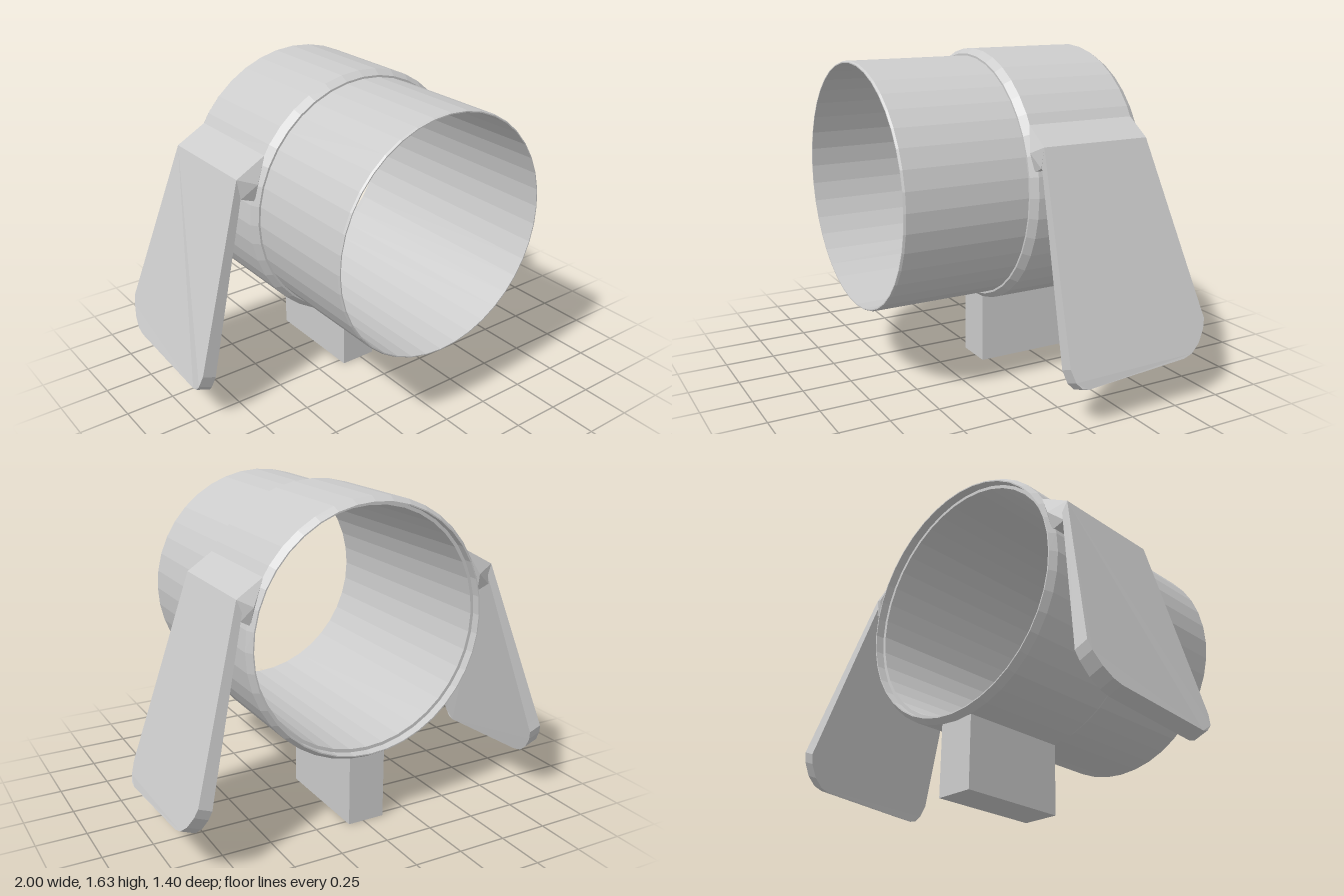
import * as THREE from 'three';
import { ConvexGeometry } from 'three/addons/geometries/ConvexGeometry.js';

const CX = -0.015, CY = 0.99;      // axis of the tube
const Z_FRONT = 0.04, Z_BACK = -0.53;

const material = new THREE.MeshStandardMaterial({ color: 0xcccccc, flatShading: true });

function part(name, geometry) {
  const mesh = new THREE.Mesh(geometry, material);
  mesh.name = name;
  return mesh;
}

// Thin tube with a thicker chamfered collar, one closed profile of [radius, z]
function tubeAndCollar() {
  const profile = [
    [0.595, -0.52], [0.612, -0.52], [0.612, -0.565], [0.618, -0.565],
    [0.64, Z_BACK], [0.64, Z_FRONT], [0.615, 0.075], [0.605, 0.075],
    [0.605, 0.69], [0.6, 0.7], [0.595, 0.7], [0.595, -0.52],
  ].map(([r, z]) => new THREE.Vector2(r, z));
  const geometry = new THREE.LatheGeometry(profile, 40);
  geometry.rotateX(Math.PI / 2).translate(CX, CY, 0);
  return part('tubeAndCollar', geometry);
}

// Splayed side plate: outline of [z, y] given thickness, then leaned outwards
const FIN_OUTLINE = [
  [0.04, 1.235], [0.08, 0.29], [0.062, 0.23], [0.035, 0.2], [0, 0.19],
  [-0.55, 0.225], [-0.6, 0.24], [-0.65, 0.28], [-0.69, 0.34], [-0.705, 0.385],
  [-0.695, 0.43], [-0.53, 1.235],
];

function fin(name, side, topX, slope) {
  const shape = new THREE.Shape(FIN_OUTLINE.map(([z, y]) => new THREE.Vector2(-side * z, y)));
  const geometry = new THREE.ExtrudeGeometry(shape, { depth: 1, bevelEnabled: false });
  const pos = geometry.attributes.position;
  for (let i = 0; i < pos.count; i++) {
    const z = -side * pos.getX(i), y = pos.getY(i);
    const drop = 1.235 - y;
    const inward = (1 - pos.getZ(i)) * (0.035 + 0.035 * drop); // plate thickens downwards
    const x = Math.min(topX + slope * drop, 1) - inward;
    pos.setXYZ(i, side * x, y - 0.4 * inward, z);
  }
  geometry.computeVertexNormals();
  return part(name, geometry);
}

// Faceted bracket that joins the collar to the top of a plate
function bracket(name, side, topX) {
  const section = [
    [0.545, 1.32, 0], [topX, 1.235, 0], [topX - 0.015, 1.135, 0.005],
    [0.615, 1.11, 0.01], [0.607, 1.2, 0.033],
  ];
  const points = [];
  for (const [x, y, flare] of section) {
    points.push(new THREE.Vector3(side * x + CX, y, Z_FRONT + flare));
    points.push(new THREE.Vector3(side * x + CX, y, Z_BACK - flare));
  }
  return part(name, new ConvexGeometry(points));
}

export function createModel() {
  const group = new THREE.Group();
  group.name = 'finnedCollar';
  group.add(tubeAndCollar());

  // Side plates and their brackets
  group.add(fin('leftFin', 1, 0.66, 0.328), fin('rightFin', -1, 0.715, 0.283));
  group.add(bracket('leftBracket', 1, 0.675), bracket('rightBracket', -1, 0.7));

  // Foot block under the collar
  const foot = part('foot', new THREE.BoxGeometry(0.195, 0.37, Z_FRONT - Z_BACK));
  foot.position.set(CX, 0.185, (Z_FRONT + Z_BACK) / 2);
  group.add(foot);
  return group;
}
